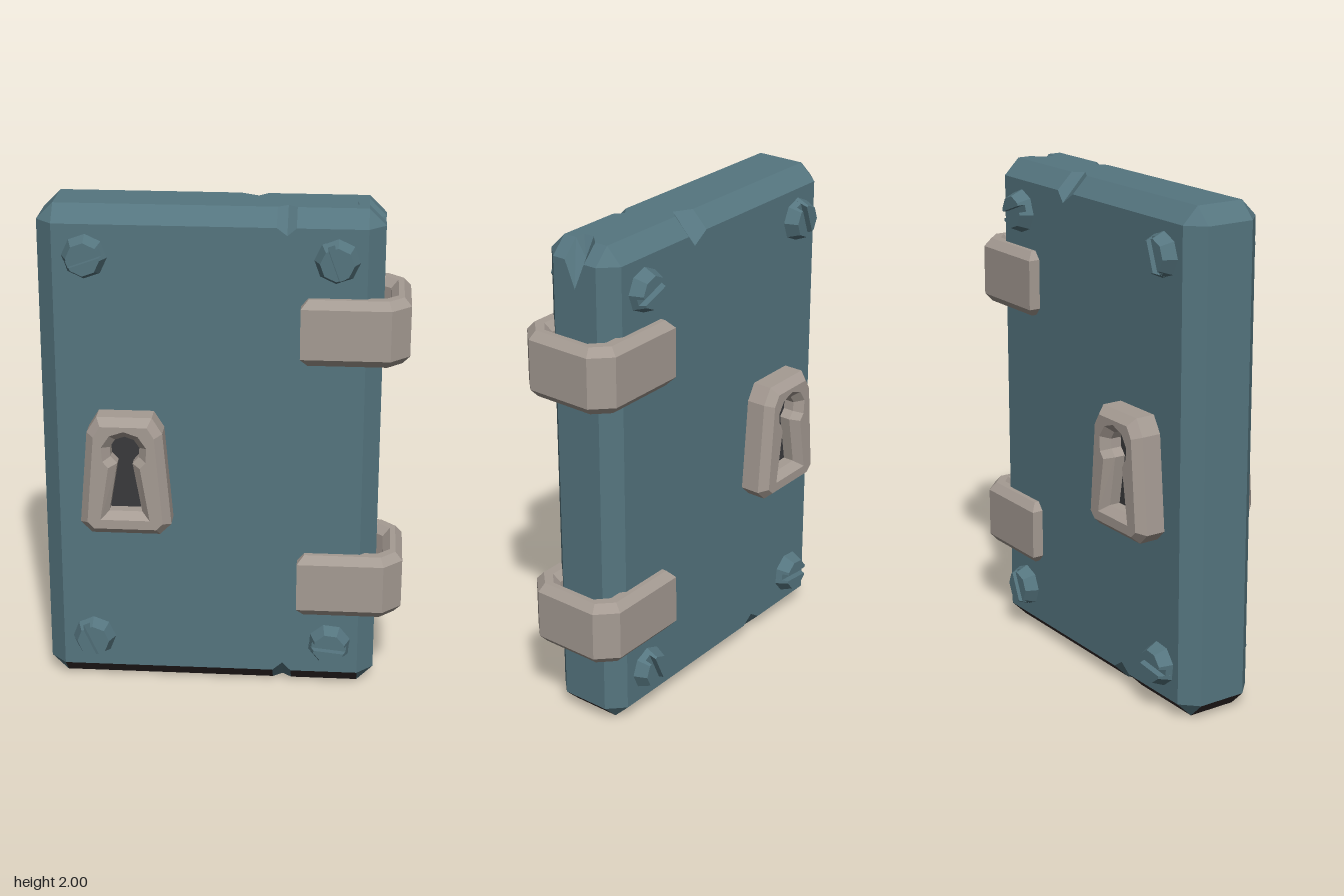
import * as THREE from 'three';
import { ConvexGeometry } from 'three/addons/geometries/ConvexGeometry.js';

const mat = (name, color, extra = {}) =>
  Object.assign(new THREE.MeshStandardMaterial({ color, flatShading: true, ...extra }), { name });

const V2 = (x, y) => new THREE.Vector2(x, y);

function mesh(name, geometry, material) {
  const m = new THREE.Mesh(geometry, material);
  m.name = name;
  return m;
}

// Door slab: chamfered cross-sections (z, y) lofted along x, with chipped edges
function buildDoor(mats) {
  const H = 2, B = 0.065, Z = 0.165, F = 0.1;
  const full = () => [[Z, B], [Z, H - B], [F, H], [0.045, H], [0, H], [-0.045, H], [-F, H],
    [-Z, H - B], [-Z, B], [-F, 0], [F, 0]];
  const end = () => full().map(([z, y]) => [THREE.MathUtils.clamp(z, -F, F), THREE.MathUtils.clamp(y, B, H - B)]);
  // a chip replaces some corners of one section: { index: [z, y] }
  const chip = (section, changes) => {
    for (const i in changes) section[i] = changes[i];
    return section;
  };
  const stations = [
    [-0.72, end()], [-0.655, full()],
    [-0.33, full()], [-0.28, chip(full(), { 8: [-Z, 0.1], 9: [-0.07, 0] }), 'chip'], [-0.23, full()],
    [0.05, full()], [0.12, chip(full(), { 6: [-0.06, H], 7: [-Z, 1.89] })], [0.155, full()],
    [0.2, full()], [0.24, chip(full(), { 0: [Z, 0.1], 10: [0.07, 0], 1: [Z, 1.905], 2: [0.07, H] }), 'chip'],
    [0.275, full()],
    [0.5, full()], [0.545, chip(full(), { 4: [0, 1.93] })], [0.61, chip(end(), { 4: [0, 1.83] })],
  ];
  const n = 11;
  const tris = { door: [], doorBottomBevel: [], doorBottom: [] };
  const tri = (part, ...pts) => {
    const t = new THREE.Triangle(...pts);
    if (t.getArea() > 1e-7) pts.forEach((p) => tris[part].push(p.x, p.y, p.z));
  };
  const point = (s, i) => {
    const [x, sec] = stations[s];
    const [z, y] = sec[i % n];
    return new THREE.Vector3(x, y, z);
  };
  const last = stations.length - 1;
  for (let s = 0; s < last; s++) {
    const atEnd = s === 0 || s === last - 1;
    const chipped = stations[s][2] || stations[s + 1][2];
    for (let i = 0; i < n; i++) {
      let part = 'door';
      if (i === 9) part = atEnd ? 'doorBottomBevel' : 'doorBottom';
      else if ((i === 8 || i === 10) && !atEnd) {
        const front = stations[s][0] > 0;
        part = chipped && front === (i === 10) ? 'door' : 'doorBottomBevel';
      }
      const a = point(s, i), b = point(s, i + 1), c = point(s + 1, i + 1), d = point(s + 1, i);
      tri(part, a, d, c);
      tri(part, a, c, b);
    }
  }
  for (let i = 0; i < n; i++) {
    tri('door', new THREE.Vector3(-0.72, 1, 0), point(0, i), point(0, i + 1));
    tri('door', new THREE.Vector3(0.61, 1, 0), point(last, i + 1), point(last, i));
  }
  const group = new THREE.Group();
  group.name = 'doorSlab';
  for (const part in tris) {
    const g = new THREE.BufferGeometry();
    g.setAttribute('position', new THREE.Float32BufferAttribute(tris[part], 3));
    g.computeVertexNormals();
    group.add(mesh(part, g, mats[part]));
  }
  return group;
}

// Slotted bolt: two tapered half octagons over a lower base, facing +z
function buildBolt(material) {
  const bolt = new THREE.Group();
  bolt.name = 'bolt';
  const half = [];
  for (const [r, z] of [[0.092, -0.01], [0.065, 0.052]]) {
    for (let k = 0; k < 4; k++) {
      const a = Math.PI / 8 + k * Math.PI / 4;
      half.push(new THREE.Vector3(r * Math.cos(a), r * Math.sin(a), z));
    }
    const x = r * Math.cos(Math.PI / 8);
    half.push(new THREE.Vector3(x, 0.014, z), new THREE.Vector3(-x, 0.014, z));
  }
  const geometry = new ConvexGeometry(half);
  for (const turn of [0, Math.PI]) {
    const m = mesh('boltHalf', geometry, material);
    m.rotation.z = turn;
    bolt.add(m);
  }
  const base = new THREE.CylinderGeometry(0.076, 0.089, 0.03, 8).rotateY(Math.PI / 8).rotateX(Math.PI / 2);
  base.translate(0, 0, 0.01);
  bolt.add(mesh('boltSlotFloor', base, material));
  return bolt;
}

// Hinge: C-shaped band wrapped round the door edge
function buildHinge(y0, material) {
  const upper = [[0.295, 0.12], [0.295, 0.213], [0.64, 0.213], [0.715, 0.138]];
  const inner = [[0.637, 0.09], [0.605, 0.12]];
  const outline = [
    ...upper, ...upper.slice().reverse().map(([x, z]) => [x, -z]),
    ...inner.slice().reverse().map(([x, z]) => [x, -z]), ...inner,
  ].map(([x, z]) => V2(x, z));
  const g = new THREE.ExtrudeGeometry(new THREE.Shape(outline), {
    depth: 0.2, bevelThickness: 0.032, bevelSize: 0.028, bevelOffset: -0.028, bevelSegments: 1,
  });
  g.rotateX(-Math.PI / 2).translate(0, y0 + 0.032, 0);
  return mesh('hinge', g, material);
}

// Lock: tapered block through the door with a funnelled keyhole on both sides
function keyholePoints(grow = 0) {
  const pts = [];
  for (let k = 0; k <= 8; k++) {
    const a = THREE.MathUtils.degToRad(-60 + k * 37.5);
    pts.push(V2(-0.38 + (0.06 + grow) * Math.cos(a), 1.05 + (0.06 + grow) * Math.sin(a)));
  }
  pts.push(V2(-0.445 - grow, 0.795 - grow), V2(-0.315 + grow, 0.795 - grow));
  return pts;
}

function buildLock(metal, dark) {
  const group = new THREE.Group();
  group.name = 'lock';
  const side = [[0.135, 0.7], [0.18, 0.745], [0.148, 1.125], [0.108, 1.19]];
  const outline = [...side, ...side.slice().reverse().map(([x, y]) => [-x, y])].map(([x, y]) => V2(x - 0.38, y));
  const shape = new THREE.Shape(outline);
  shape.holes.push(new THREE.Path(keyholePoints()));
  const g = new THREE.ExtrudeGeometry(shape, {
    depth: 0.49, bevelThickness: 0.033, bevelSize: 0.03, bevelOffset: -0.03, bevelSegments: 1,
  });
  g.translate(0, 0, -0.245);
  group.add(mesh('lockBody', g, metal));
  for (const s of [1, -1]) {
    const floor = mesh('keyhole', new THREE.ShapeGeometry(new THREE.Shape(keyholePoints(0.005))), dark);
    floor.position.z = s * 0.2;
    group.add(floor);
  }
  return group;
}

export function createModel() {
  const teal = mat('teal painted steel', 0x55757f);
  const metal = mat('taupe metal', 0xa59b93);
  const dark = mat('keyhole dark', 0x3a3a3c, { side: THREE.DoubleSide });
  const bevel = mat('dark bottom bevel', 0x352e2e);
  const bottom = mat('brown underside', 0x4e280b);

  const model = new THREE.Group();
  model.name = 'door';
  model.add(buildDoor({ door: teal, doorBottomBevel: bevel, doorBottom: bottom }));

  // Bolts in the corners, the same set turned round for the back
  const spots = [[-0.475, 1.81, 20], [0.485, 1.81, -70], [-0.475, 0.195, -66], [0.485, 0.195, -6]];
  for (const turn of [0, Math.PI]) {
    const set = new THREE.Group();
    set.name = turn ? 'backBolts' : 'frontBolts';
    for (const [x, y, deg] of spots) {
      const bolt = buildBolt(teal);
      bolt.position.set(x, y, 0.165);
      bolt.rotation.z = THREE.MathUtils.degToRad(deg);
      set.add(bolt);
    }
    set.position.x = -0.055;
    set.rotation.y = turn;
    model.add(set);
  }

  for (const y of [0.335, 1.4]) model.add(buildHinge(y, metal));
  model.add(buildLock(metal, dark));
  return model;
}
